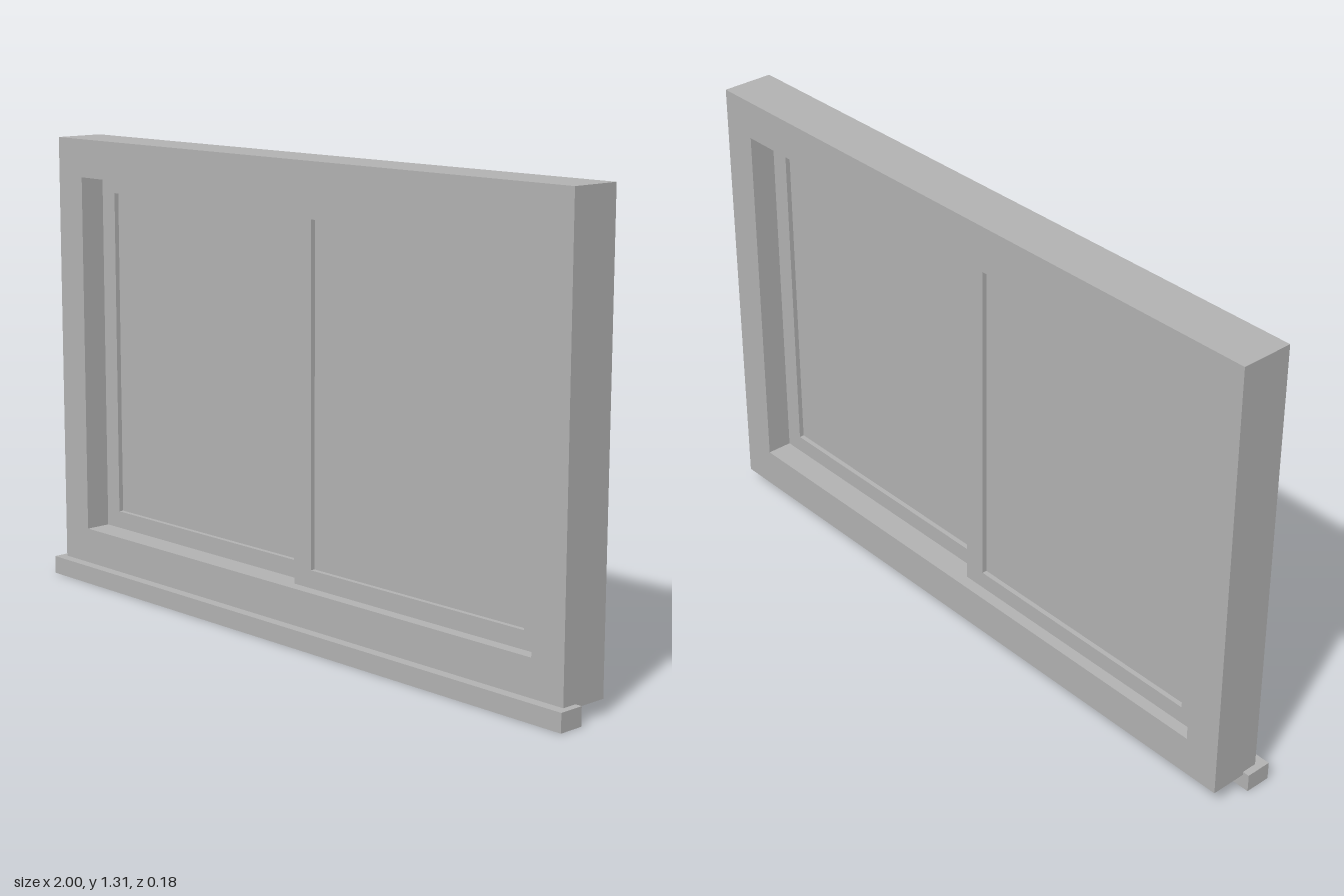
import * as THREE from 'three';

const paint = new THREE.MeshStandardMaterial({ color: 0xb2b2b2 });
paint.name = 'grey';

// Traces a rectangle on a Shape or Path
function rect(path, x0, y0, x1, y1) {
  path.moveTo(x0, y0);
  path.lineTo(x1, y0);
  path.lineTo(x1, y1);
  path.lineTo(x0, y1);
  path.closePath();
  return path;
}

// Rectangular ring extruded from zBack to zFront
function ring(name, outer, inner, zBack, zFront) {
  const shape = rect(new THREE.Shape(), ...outer);
  shape.holes.push(rect(new THREE.Path(), ...inner));
  const geometry = new THREE.ExtrudeGeometry(shape, { depth: zFront - zBack, bevelEnabled: false });
  geometry.translate(0, 0, zBack);
  const mesh = new THREE.Mesh(geometry, paint);
  mesh.name = name;
  return mesh;
}

// Box given by its two opposite corners
function block(name, x0, y0, z0, x1, y1, z1) {
  const mesh = new THREE.Mesh(new THREE.BoxGeometry(x1 - x0, y1 - y0, z1 - z0), paint);
  mesh.position.set((x0 + x1) / 2, (y0 + y1) / 2, (z0 + z1) / 2);
  mesh.name = name;
  return mesh;
}

// Sliding sash: a border with a recessed pane
function sash(name, x0, x1, paneX0, paneX1, zMid) {
  const group = new THREE.Group();
  group.name = name;
  const y0 = 0.155, y1 = 1.2, paneY0 = 0.205, paneY1 = 1.153;
  group.add(ring('sashBorder', [x0, y0, x1, y1], [paneX0, paneY0, paneX1, paneY1], zMid - 0.02, zMid + 0.02));
  group.add(block('pane', paneX0, paneY0, zMid - 0.006, paneX1, paneY1, zMid + 0.006));
  return group;
}

export function createModel() {
  const model = new THREE.Group();
  model.name = 'slidingWindow';

  // Outer frame and projecting sill
  model.add(ring('frame', [-0.98, 0.042, 0.98, 1.31], [-0.875, 0.155, 0.875, 1.2], -0.09, 0.06));
  model.add(block('sill', -1, 0, 0.015, 1, 0.052, 0.09));

  // Left sash runs in front, right sash behind, overlapping at the middle
  model.add(sash('leftSash', -0.01, 0.875, 0.055, 0.82, 0.005));
  model.add(sash('rightSash', -0.875, 0.01, -0.82, -0.055, -0.036));
  return model;
}
